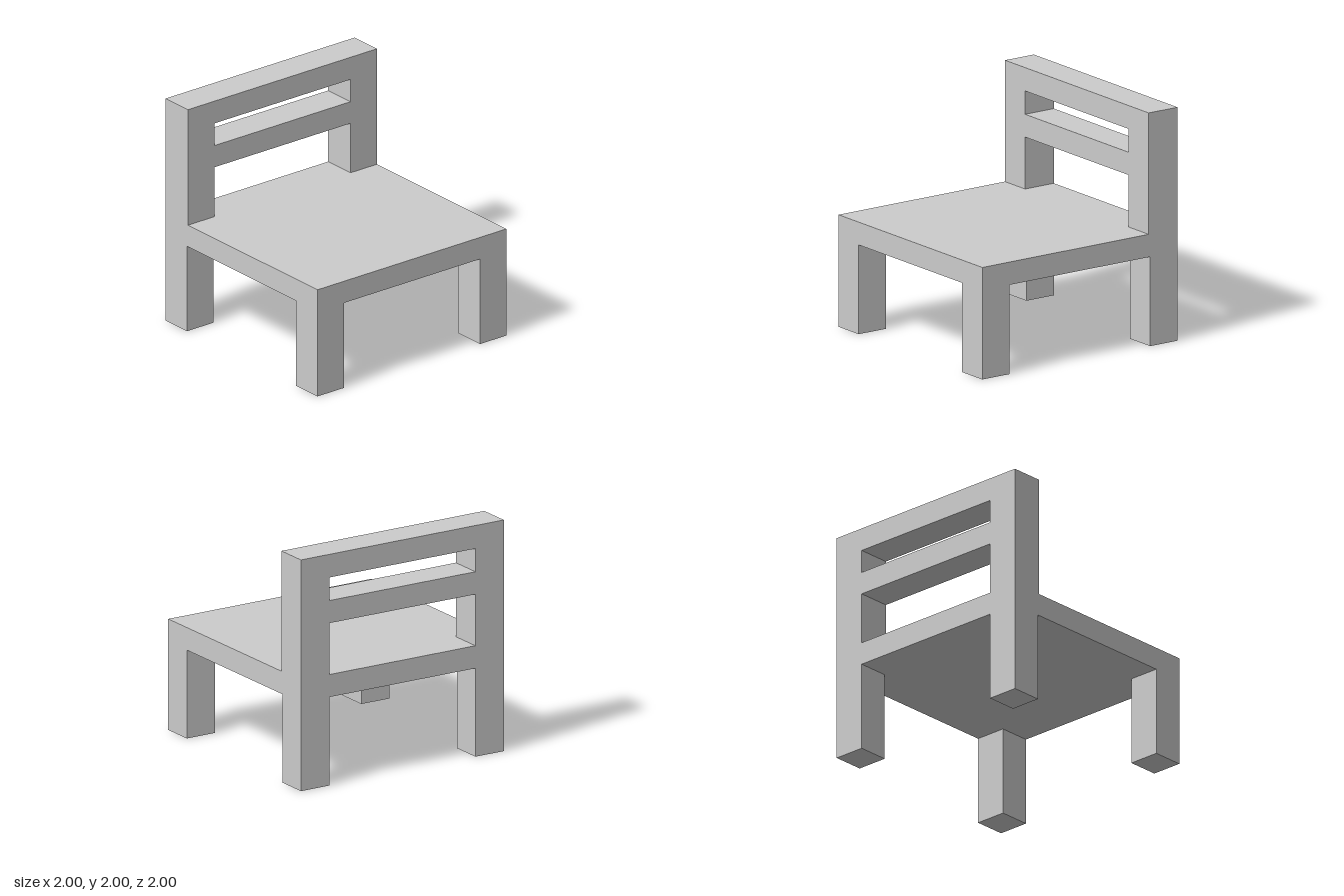
import * as THREE from 'three';

const SEAT_BOTTOM = 0.765, SEAT_TOP = 0.96;
const LEG = 0.28;          // square leg section
const BACK_DEPTH = 0.295;  // thickness of the backrest
const INNER = 0.72;        // half width between the posts

export function createModel() {
  const chair = new THREE.Group();
  chair.name = 'chair';
  const material = new THREE.MeshStandardMaterial({ color: 0xcccccc, flatShading: true });

  const add = (name, geometry, x, y, z) => {
    const mesh = new THREE.Mesh(geometry, material);
    mesh.name = name;
    mesh.position.set(x, y, z);
    chair.add(mesh);
  };

  // Seat slab
  const seatHeight = SEAT_TOP - SEAT_BOTTOM;
  add('seat', new THREE.BoxGeometry(2, seatHeight, 2), 0, SEAT_BOTTOM + seatHeight / 2, 0);

  // Four square legs, flush with the seat corners
  const legGeometry = new THREE.BoxGeometry(LEG, SEAT_BOTTOM, LEG);
  const offset = 1 - LEG / 2;
  for (const [zName, z] of [['front', offset], ['back', -offset]]) {
    for (const [xName, x] of [['Left', offset], ['Right', -offset]]) {
      add(`${zName}${xName}Leg`, legGeometry, x, SEAT_BOTTOM / 2, z);
    }
  }

  // Backrest: two posts joined by a slat and a top rail, open above the seat
  const outline = new THREE.Shape([
    [-1, SEAT_TOP], [-INNER, SEAT_TOP], [-INNER, 1.405], [INNER, 1.405],
    [INNER, SEAT_TOP], [1, SEAT_TOP], [1, 2], [-1, 2],
  ].map(([x, y]) => new THREE.Vector2(x, y)));
  // Slot between the slat and the top rail
  outline.holes.push(new THREE.Path([
    [-INNER, 1.6], [-INNER, 1.8], [INNER, 1.8], [INNER, 1.6],
  ].map(([x, y]) => new THREE.Vector2(x, y))));
  add('backrest', new THREE.ExtrudeGeometry(outline, { depth: BACK_DEPTH, bevelEnabled: false }), 0, 0, -1);

  return chair;
}
